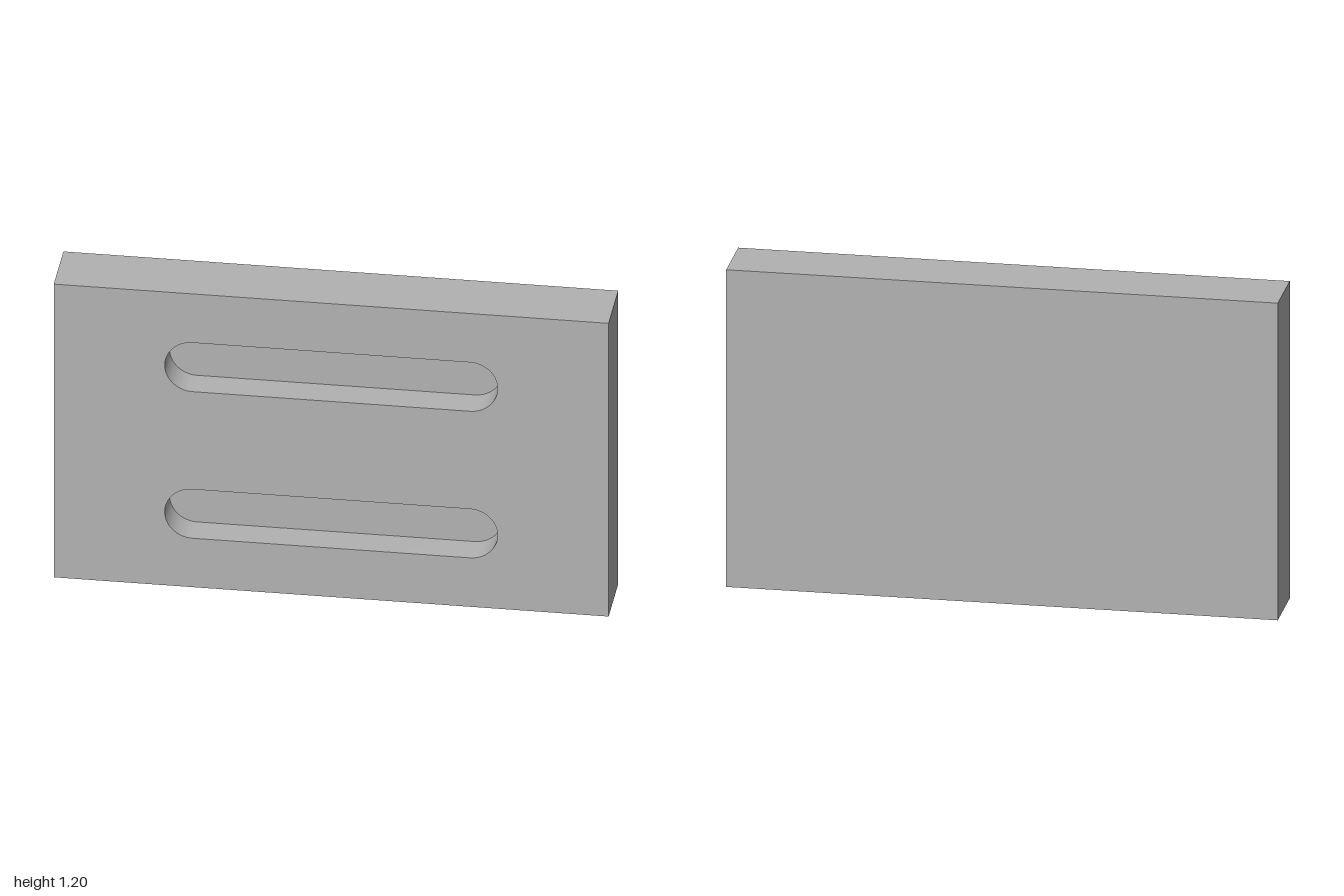
import * as THREE from 'three';
import { toCreasedNormals } from 'three/addons/utils/BufferGeometryUtils.js';

const W = 2, H = 1.2, D = 0.24;          // plate size
const FRONT = D / 2, FLOOR = 0;          // slot mouth and slot floor, along z
const R = 0.1, HALF = 0.5;               // slot end radius, half straight length
const SLOT_YS = [0.3, 0.9];

// Counter-clockwise rounded slot outline centred at height y
function slotShape(y) {
  const s = new THREE.Shape();
  s.absarc(HALF, y, R, -Math.PI / 2, Math.PI / 2, false);
  s.absarc(-HALF, y, R, Math.PI / 2, Math.PI * 1.5, false);
  s.closePath();
  return s;
}

// Inward-facing wall between the slot mouth and its floor
function slotWall(shape) {
  const pts = shape.getPoints(24);
  const pos = [];
  for (let i = 0; i < pts.length - 1; i++) {
    const a = pts[i], b = pts[i + 1];
    if (a.distanceTo(b) < 1e-6) continue;
    pos.push(a.x, a.y, FRONT, b.x, b.y, FRONT, b.x, b.y, FLOOR);
    pos.push(a.x, a.y, FRONT, b.x, b.y, FLOOR, a.x, a.y, FLOOR);
  }
  const g = new THREE.BufferGeometry();
  g.setAttribute('position', new THREE.Float32BufferAttribute(pos, 3));
  g.computeVertexNormals();
  return toCreasedNormals(g, Math.PI / 6);
}

export function createModel() {
  const group = new THREE.Group();
  group.name = 'slottedPlate';
  const grey = new THREE.MeshStandardMaterial({ color: 0xb2b2b2 });
  grey.name = 'grey';

  const add = (name, geometry, z = 0) => {
    const mesh = new THREE.Mesh(geometry, grey);
    mesh.name = name;
    mesh.position.z = z;
    group.add(mesh);
  };

  // Plate body: a box without its +z face
  const body = new THREE.BoxGeometry(W, H, D).translate(0, H / 2, 0);
  const index = Array.from(body.index.array);
  index.splice(24, 6);
  body.setIndex(index);
  body.clearGroups();
  add('plateBody', body);

  // Front face, pierced by the slots
  const face = new THREE.Shape([
    new THREE.Vector2(-W / 2, 0), new THREE.Vector2(W / 2, 0),
    new THREE.Vector2(W / 2, H), new THREE.Vector2(-W / 2, H),
  ]);
  const slots = SLOT_YS.map(slotShape);
  face.holes.push(...slots);
  add('frontFace', new THREE.ShapeGeometry(face, 24), FRONT);

  // Blind slots: walls and floors
  slots.forEach((slot, i) => {
    const label = i ? 'upper' : 'lower';
    add(label + 'SlotWall', slotWall(slot));
    add(label + 'SlotFloor', new THREE.ShapeGeometry(slot, 24), FLOOR);
  });

  return group;
}
